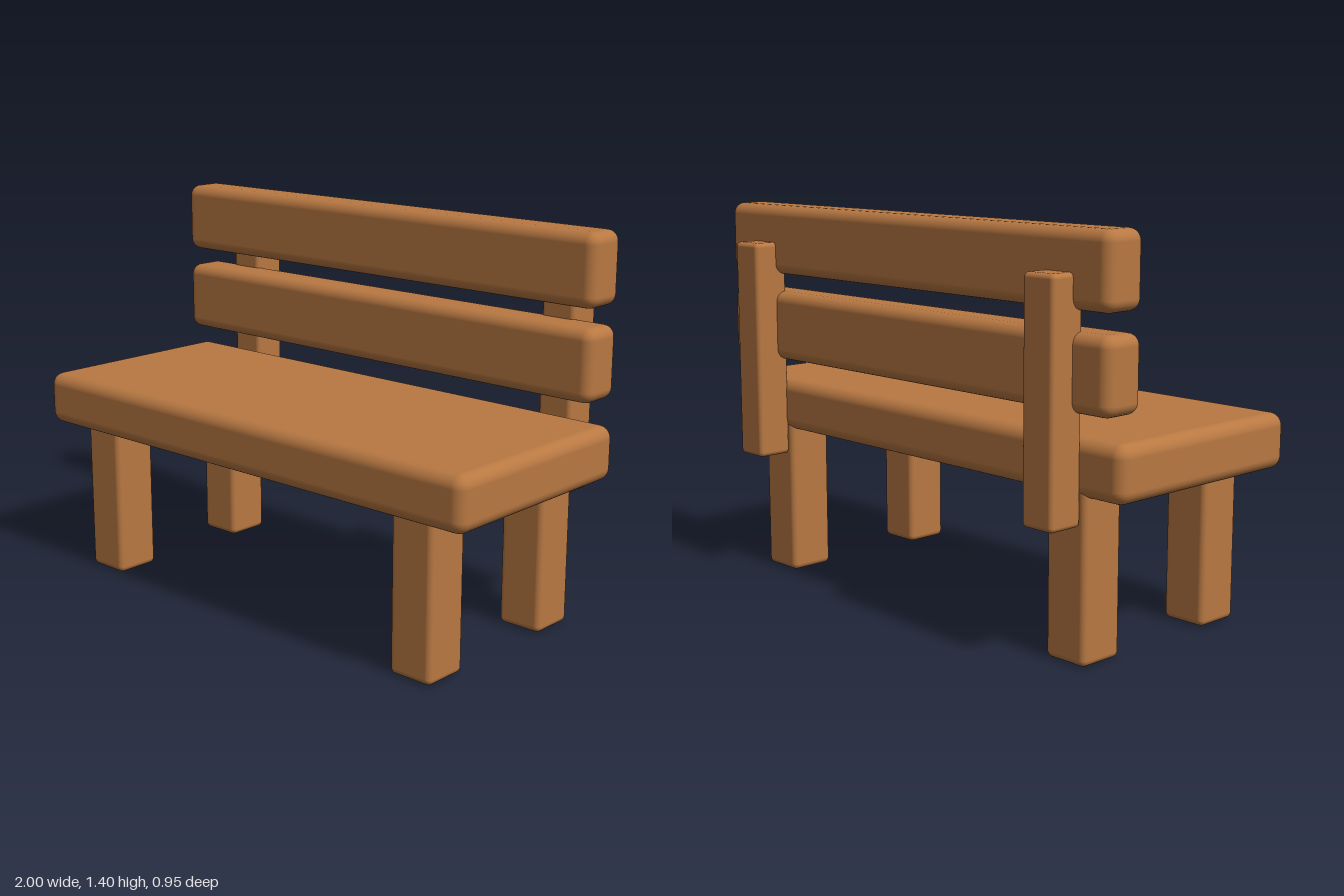
import * as THREE from 'three';
import { RoundedBoxGeometry } from 'three/addons/geometries/RoundedBoxGeometry.js';

export function createModel() {
  const bench = new THREE.Group();
  bench.name = 'bench';
  const wood = new THREE.MeshStandardMaterial({ color: 0xb87842 });
  wood.name = 'wood';

  // Rounded beam spanning the given [min, max] ranges
  function beam(name, [x0, x1], [y0, y1], [z0, z1], radius) {
    const geometry = new RoundedBoxGeometry(x1 - x0, y1 - y0, z1 - z0, 4, radius);
    const mesh = new THREE.Mesh(geometry, wood);
    mesh.name = name;
    mesh.position.set((x0 + x1) / 2, (y0 + y1) / 2, (z0 + z1) / 2);
    bench.add(mesh);
  }

  // Seat plank
  beam('seat', [-1, 1], [0.557, 0.75], [-0.353, 0.477], 0.045);

  // Two backrest slats
  beam('lowerBackSlat', [-0.97, 0.97], [0.83, 1.085], [-0.39, -0.228], 0.04);
  beam('upperBackSlat', [-0.97, 0.97], [1.15, 1.404], [-0.39, -0.228], 0.04);

  // Legs and backrest posts, mirrored left and right
  for (const [side, s] of [['left', 1], ['right', -1]]) {
    const span = (a, b) => (s > 0 ? [a, b] : [-b, -a]);
    beam(side + 'FrontLeg', span(0.67, 0.842), [0.004, 0.64], [0.25, 0.422], 0.022);
    beam(side + 'BackLeg', span(0.67, 0.842), [0.004, 0.64], [-0.344, -0.172], 0.022);
    beam(side + 'BackPost', span(0.688, 0.822), [0.465, 1.268], [-0.476, -0.343], 0.017);
  }

  // Rest the feet on the ground
  bench.children.forEach((part) => { part.position.y -= 0.004; });
  return bench;
}
